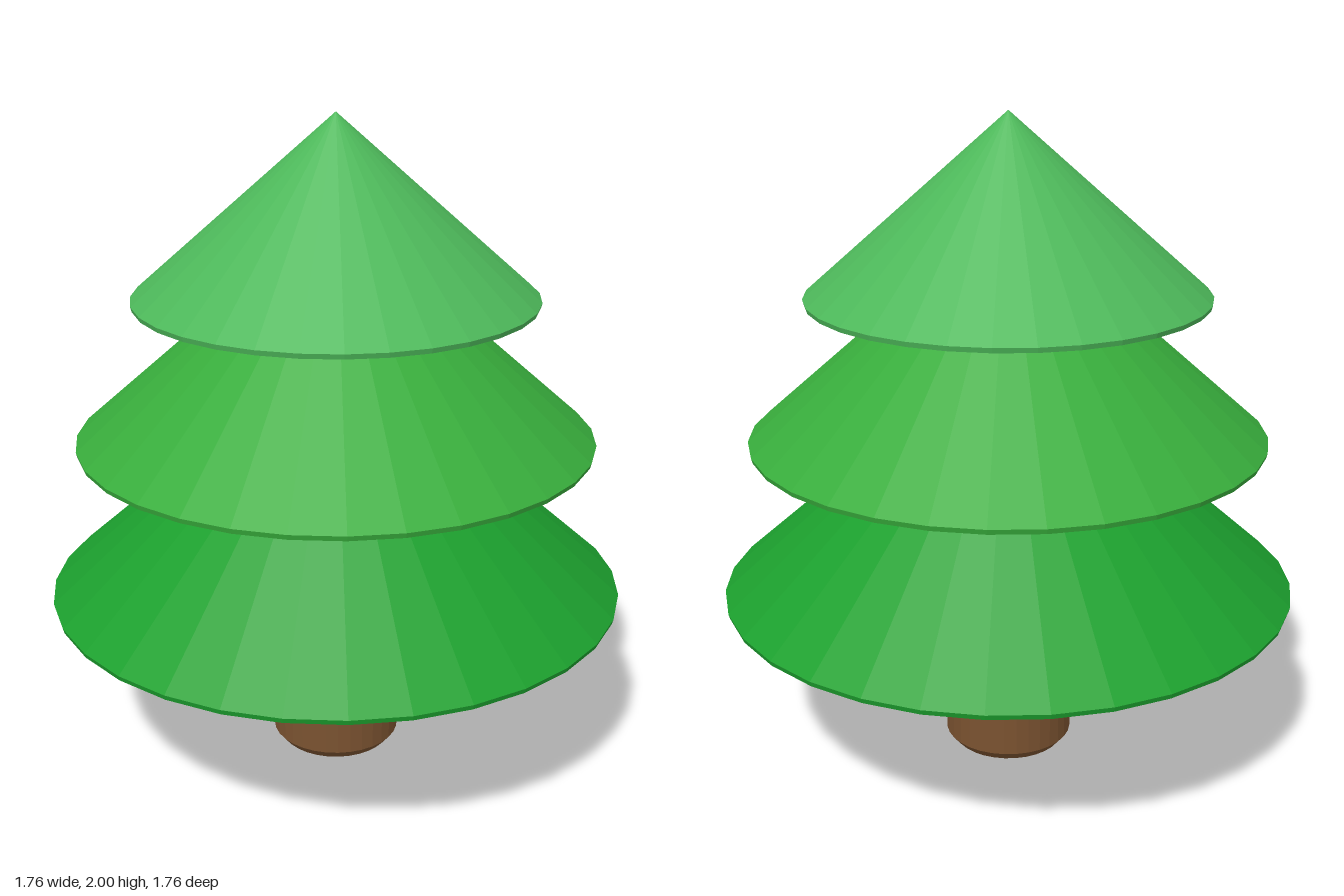
import * as THREE from 'three';

const SIDES = 32;

// Faceted solid of revolution from [radius, y] pairs, bottom to top
function turned(name, profile, color) {
  const points = profile.map(([r, y]) => new THREE.Vector2(r, y));
  const material = new THREE.MeshStandardMaterial({ color, flatShading: true });
  const mesh = new THREE.Mesh(new THREE.LatheGeometry(points, SIDES), material);
  mesh.name = name;
  return mesh;
}

// Closed cone of foliage with a thin rim around its flat underside
function foliage(name, radius, bottom, apex, color) {
  return turned(name, [
    [0, bottom],
    [radius - 0.004, bottom],
    [radius, bottom + 0.015],
    [0, apex],
  ], color);
}

export function createModel() {
  const tree = new THREE.Group();
  tree.name = 'tree';

  // Trunk with a chamfered foot
  tree.add(turned('trunk', [
    [0, 0], [0.175, 0], [0.2, 0.03], [0.2, 0.56], [0, 0.56],
  ], 0x7a5230));

  // Three tiers, lighter towards the top
  tree.add(foliage('lowerFoliage', 0.88, 0.54, 1.335, 0x1ca02e));
  tree.add(foliage('middleFoliage', 0.785, 1.022, 1.73, 0x38ad3c));
  tree.add(foliage('upperFoliage', 0.605, 1.452, 2, 0x4db85a));

  return tree;
}
